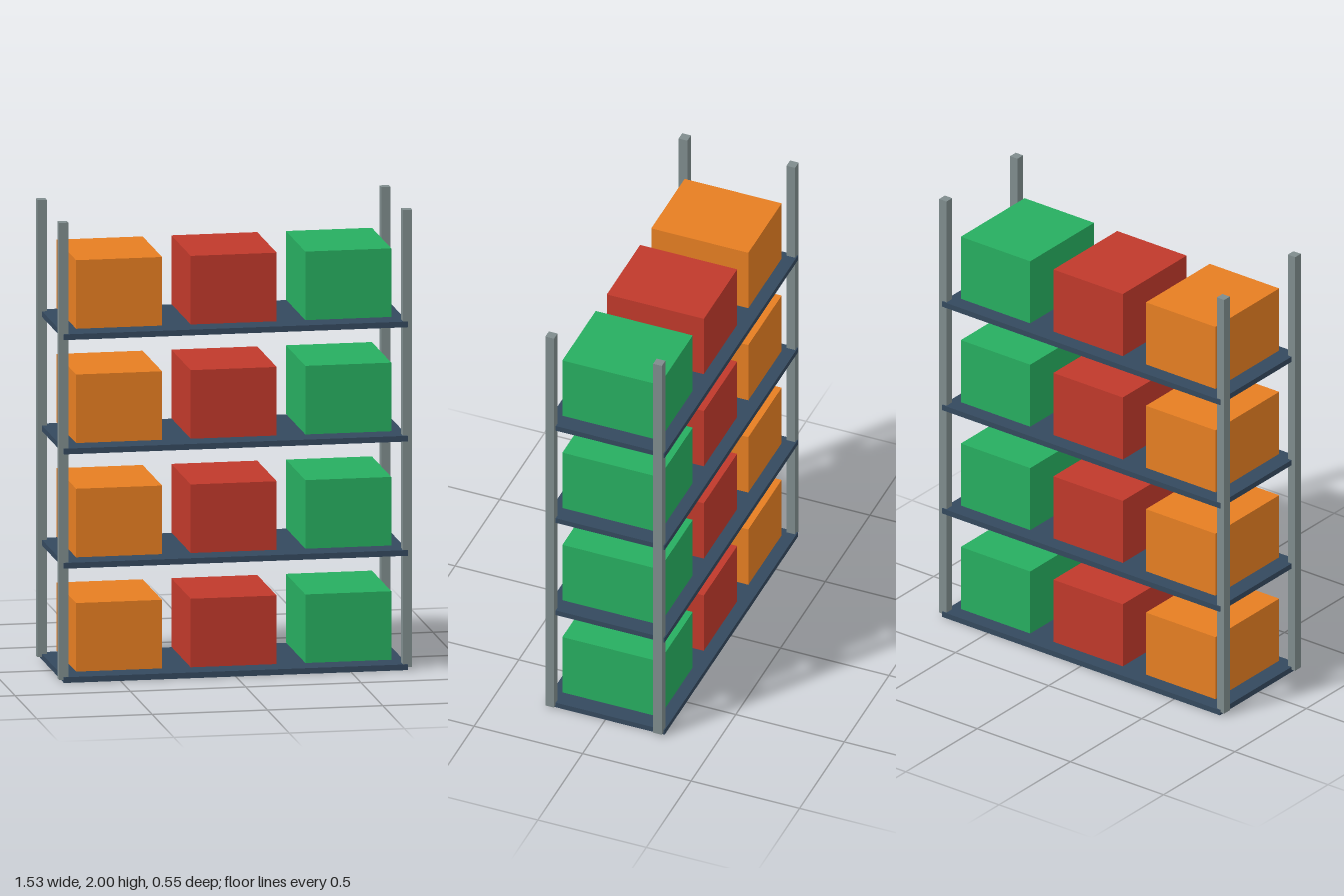
import * as THREE from 'three';

const material = (name, color) => {
  const m = new THREE.MeshStandardMaterial({ color });
  m.name = name;
  return m;
};

export function createModel() {
  const rack = new THREE.Group();
  rack.name = 'storageRack';

  const steel = material('greySteel', 0x7f8c8d);
  const slate = material('darkSlate', 0x34495e);
  const crateColours = [
    ['orangeCrate', material('orange', 0xe67e22)],
    ['redCrate', material('red', 0xc0392b)],
    ['greenCrate', material('green', 0x27ae60)],
  ];

  const postGeometry = new THREE.BoxGeometry(0.0398, 1.9876, 0.0398);
  const shelfGeometry = new THREE.BoxGeometry(1.4907, 0.0248, 0.5466);
  const crateGeometry = new THREE.BoxGeometry(0.3727, 0.2981, 0.4472);

  const add = (name, geometry, mat, x, y, z) => {
    const mesh = new THREE.Mesh(geometry, mat);
    mesh.name = name;
    mesh.position.set(x, y, z);
    rack.add(mesh);
  };

  // Corner posts, starting at the middle of the lowest shelf
  for (const x of [-0.7453, 0.7453]) {
    for (const z of [-0.2484, 0.2484]) add('post', postGeometry, steel, x, 1.0062, z);
  }

  // Four shelves, each carrying three crates
  const spacing = 0.4969;
  for (let level = 0; level < 4; level++) {
    const y = 0.0124 + level * spacing;
    add('shelf', shelfGeometry, slate, 0, y, 0);
    crateColours.forEach(([name, mat], i) => {
      add(name, crateGeometry, mat, (i - 1) * spacing, y + 0.1739, 0);
    });
  }
  return rack;
}
